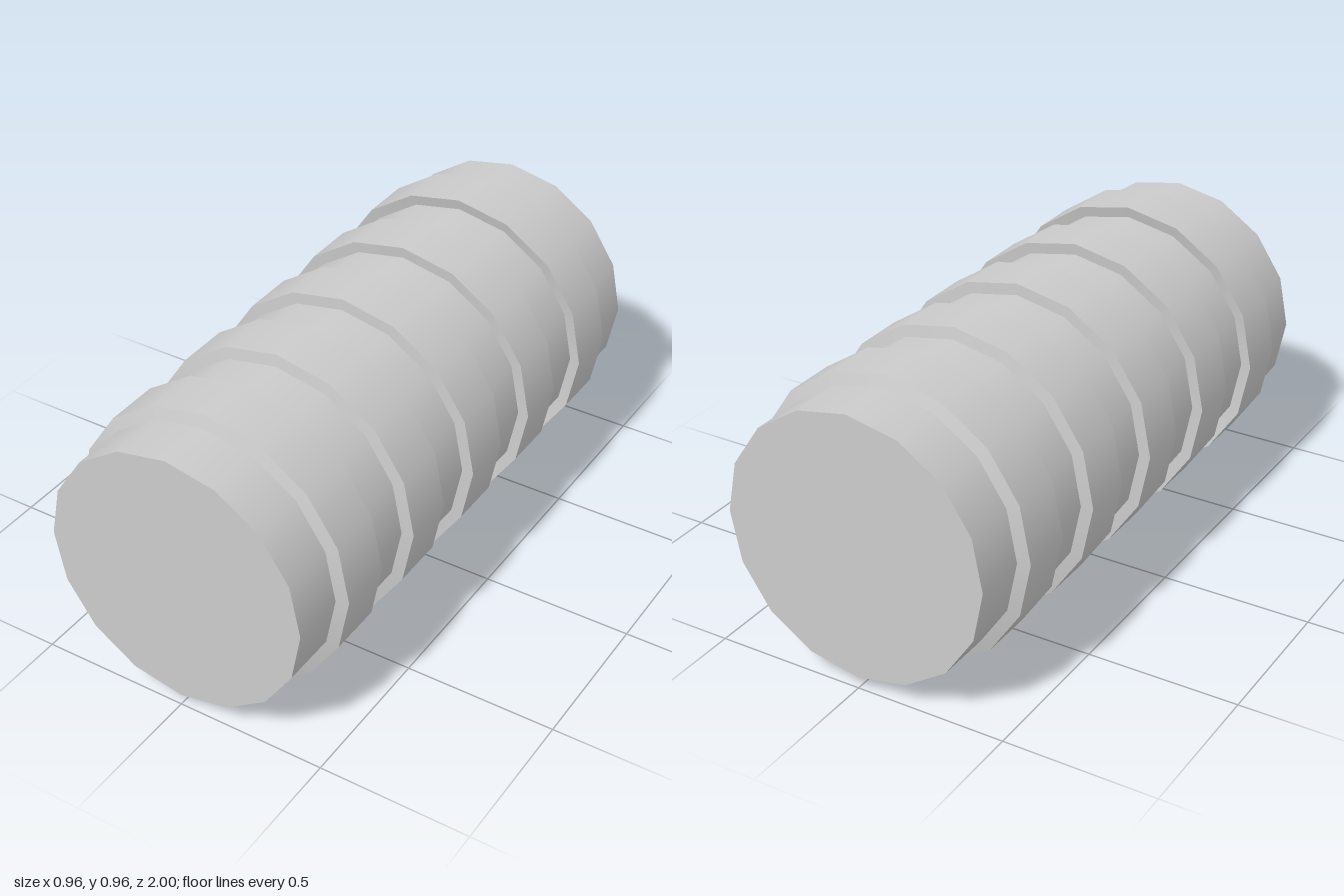
import * as THREE from 'three';
import { mergeGeometries } from 'three/addons/utils/BufferGeometryUtils.js';

const SIDES = 16;
const R_BODY = 0.44, R_RING = 0.478;
const BANDS = 11;      // equal bands along the length, alternating body and ring
const TAPER = 0.985;   // raised ring edges are drawn slightly toward the middle

// One lathe per profile step keeps the edges sharp and the round sides smooth
function turned(profile) {
  const strips = [];
  for (let i = 0; i + 1 < profile.length; i++) {
    const pts = [profile[i], profile[i + 1]].map(([r, z]) => new THREE.Vector2(r, z));
    strips.push(new THREE.LatheGeometry(pts, SIDES));
  }
  return mergeGeometries(strips).rotateX(Math.PI / 2);
}

export function createModel() {
  const model = new THREE.Group();
  model.name = 'ribbedCylinder';
  const material = new THREE.MeshStandardMaterial({ color: 0xcccccc });

  for (let i = 0; i < BANDS; i++) {
    const z0 = -1 + (2 * i) / BANDS;
    const z1 = -1 + (2 * (i + 1)) / BANDS;
    const isRing = i % 2 === 1;
    const profile = [[R_BODY, z0]];
    // Raised ring with slanted side walls
    if (isRing) profile.push([R_RING, z0 * TAPER], [R_RING, z1 * TAPER]);
    profile.push([R_BODY, z1]);
    // End caps
    if (i === 0) profile.unshift([0, z0]);
    if (i === BANDS - 1) profile.push([0, z1]);

    const mesh = new THREE.Mesh(turned(profile), material);
    mesh.name = isRing ? `ring${(i + 1) / 2}` : `bodySection${i / 2 + 1}`;
    mesh.position.y = R_RING;
    model.add(mesh);
  }
  return model;
}
